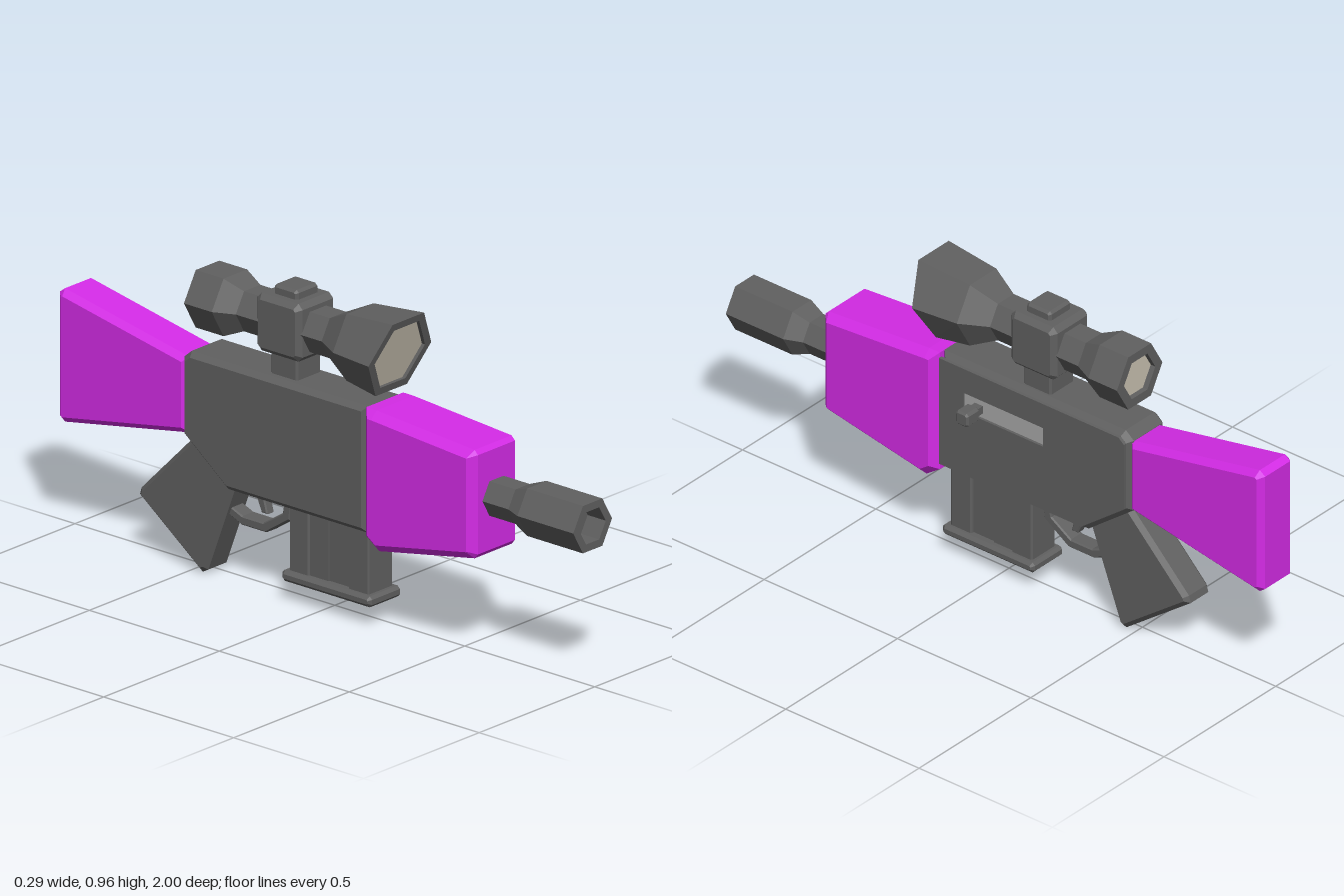
import * as THREE from 'three';

const CX = -0.009; // centre plane of the body (the side handle shifts it off zero)
const mat = (color) => new THREE.MeshStandardMaterial({ color, flatShading: true });

export function createModel() {
  const group = new THREE.Group();
  const dark = mat(0x606060), magenta = mat(0xd42be6), glass = mat(0xc8c0b0), light = mat(0xa8a8a8);

  const add = (name, geometry, material, x = CX, y = 0, z = 0) => {
    const mesh = new THREE.Mesh(geometry, material);
    mesh.name = name;
    mesh.position.set(x, y, z);
    group.add(mesh);
    return mesh;
  };

  // Side profile in [z, y], extruded across x with chamfered side edges
  const slab = (name, profile, half, bevel, material, x = CX, hole = null) => {
    const shape = new THREE.Shape(profile.map(([z, y]) => new THREE.Vector2(z, y)));
    if (hole) shape.holes.push(new THREE.Path(hole.map(([z, y]) => new THREE.Vector2(z, y))));
    const depth = 2 * (half - bevel);
    const geo = new THREE.ExtrudeGeometry(shape, {
      depth, bevelEnabled: bevel > 0, bevelThickness: bevel, bevelSize: bevel, bevelOffset: -bevel, bevelSegments: 1,
    });
    geo.translate(0, 0, -depth / 2).rotateY(-Math.PI / 2);
    return add(name, geo, material, x);
  };

  // Rectangle profile with cut corners
  const rect = (z0, z1, y0, y1, c = 0) => c === 0
    ? [[z0, y0], [z1, y0], [z1, y1], [z0, y1]]
    : [[z0 + c, y0], [z1 - c, y0], [z1, y0 + c], [z1, y1 - c], [z1 - c, y1], [z0 + c, y1], [z0, y1 - c], [z0, y0 + c]];

  // Six-sided turned part along z; points are [radius, z]
  const hex = (points) => new THREE.LatheGeometry(
    points.map(([r, z]) => new THREE.Vector2(r, z)), 6, Math.PI / 2).rotateX(Math.PI / 2);

  // Main body
  slab('receiver', [[0.2, 0.3], [0.2, 0.69], [-0.48, 0.69], [-0.51, 0.665], [-0.51, 0.43], [-0.34, 0.3]],
    0.08, 0.016, dark, CX - 0.005);
  // Raised side panel leaving the slot open
  slab('slotPanel', [[0.2, 0.316], [0.2, 0.674], [-0.474, 0.674], [-0.494, 0.657], [-0.494, 0.438], [-0.334, 0.316]],
    0.006, 0, dark, CX + 0.079, rect(-0.19, 0.11, 0.53, 0.593));
  add('slotPlate', new THREE.BoxGeometry(0.004, 0.063, 0.3), light, CX + 0.0745, 0.5615, -0.04);
  slab('handleStem', rect(0.042, 0.072, 0.545, 0.57), 0.03, 0, dark, 0.085);
  slab('handleKnob', rect(0.033, 0.081, 0.534, 0.58, 0.008), 0.028, 0.006, dark, 0.119);

  slab('foregrip', [[0.63, 0.345], [0.63, 0.65], [0.617, 0.663], [0.24, 0.69], [0.2, 0.69],
    [0.2, 0.295], [0.25, 0.26], [0.617, 0.33]], 0.104, 0.024, magenta);
  slab('stock', [[-0.5, 0.43], [-0.5, 0.662], [-0.98, 0.753], [-1, 0.738], [-1, 0.358], [-0.98, 0.343]],
    0.074, 0.018, magenta);

  // Barrel with a hollow muzzle
  add('barrel', hex([[0, 0.6], [0.061, 0.6], [0.061, 0.73], [0.084, 0.785], [0.084, 1],
    [0.057, 1], [0.057, 0.93], [0, 0.93]]), dark, CX, 0.503);

  // Magazine: ribs around a shallow groove, on a wider base
  slab('magazineFront', rect(0.105, 0.185, 0.09, 0.32), 0.053, 0.005, dark);
  slab('magazineGroove', rect(-0.05, 0.11, 0.09, 0.32), 0.042, 0, dark);
  slab('magazineRib', rect(-0.045, 0.025, 0.09, 0.32), 0.047, 0, dark);
  slab('magazineBack', rect(-0.122, -0.045, 0.09, 0.32), 0.053, 0.005, dark);
  slab('magazineBase', rect(-0.14, 0.205, 0.068, 0.102, 0.009), 0.07, 0.01, dark);

  // Grip, trigger and guard
  slab('grip', [[-0.33, 0.32], [-0.48, 0.43], [-0.7, 0.207], [-0.707, 0.185], [-0.465, 0.006], [-0.444, 0.018]],
    0.053, 0.014, dark);
  slab('trigger', [[-0.26, 0.31], [-0.295, 0.31], [-0.262, 0.232], [-0.238, 0.232]], 0.016, 0.004, dark);
  slab('triggerGuard', [[-0.135, 0.31], [-0.145, 0.24], [-0.235, 0.18], [-0.33, 0.18], [-0.39, 0.205],
    [-0.385, 0.232], [-0.325, 0.208], [-0.245, 0.208], [-0.172, 0.255], [-0.162, 0.31]], 0.026, 0.004, dark);

  // Scope: the front bell is cut at a slant
  const slant = (geo) => {
    const p = geo.attributes.position;
    for (let i = 0; i < p.count; i++) {
      if (p.getZ(i) > 0.2) p.setZ(i, p.getZ(i) + 0.28 * p.getY(i));
    }
    return geo;
  };
  const scopeY = 0.844;
  add('scopeTube', slant(hex([[0.07, -0.465], [0.07, -0.482], [0.102, -0.482], [0.102, -0.375], [0.071, -0.31],
    [0.071, 0.02], [0.118, 0.105], [0.136, 0.258], [0.109, 0.258], [0.109, 0.246]])), dark, CX, scopeY);
  add('frontLens', slant(hex([[0.109, 0.246], [0, 0.246]])), glass, CX, scopeY);
  add('rearLens', hex([[0, -0.465], [0.07, -0.465]]), glass, CX, scopeY);
  slab('scopeBlock', rect(-0.23, -0.057, 0.757, 0.935, 0.016), 0.082, 0.016, dark);
  slab('scopeKnob', rect(-0.187, -0.095, 0.92, 0.963, 0.008), 0.048, 0.008, dark);
  slab('scopeMount', rect(-0.193, -0.09, 0.68, 0.77), 0.053, 0.006, dark);

  return group;
}
